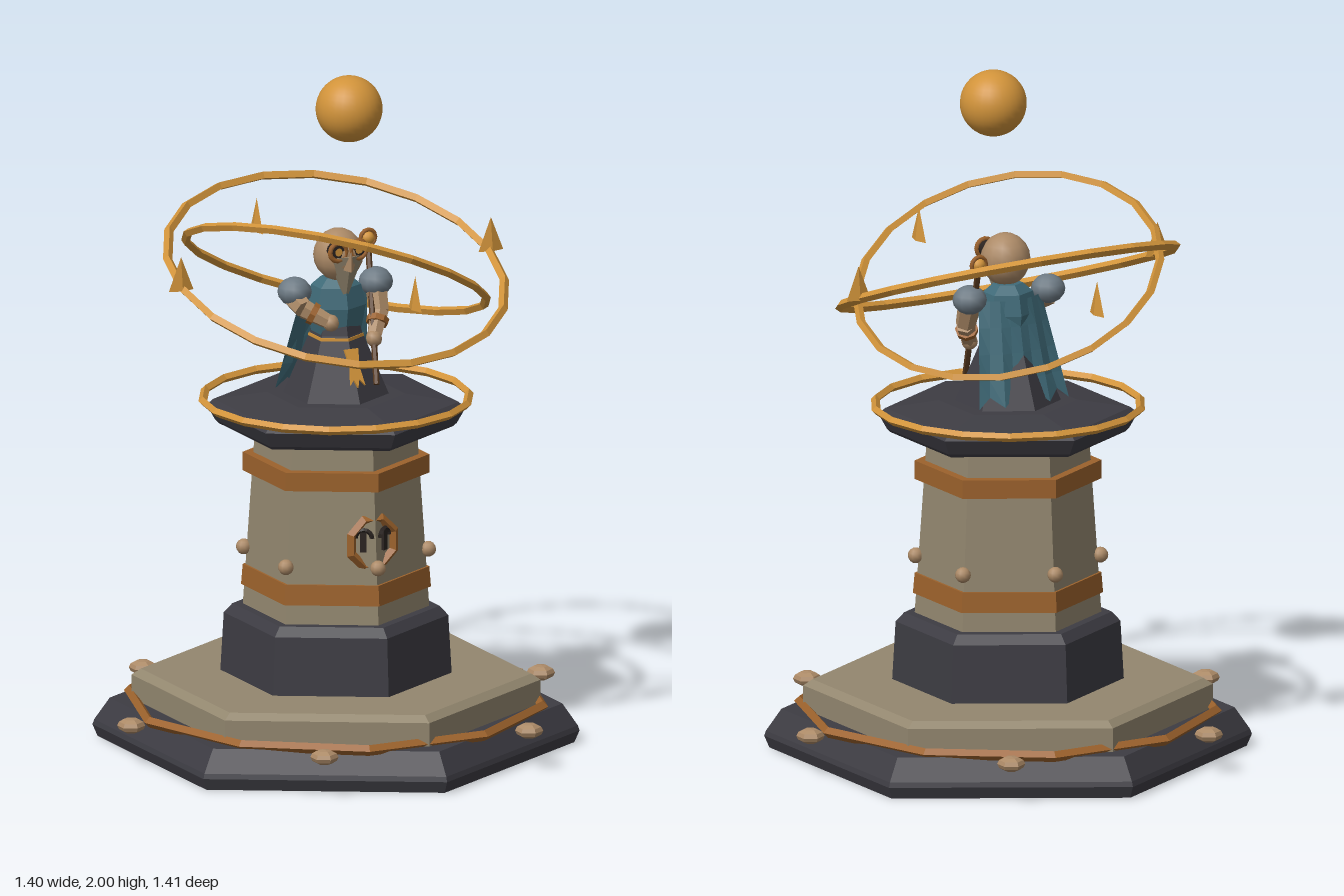
import * as THREE from 'three';

const mat = (name, color, extra = {}) => new THREE.MeshStandardMaterial({ name, color, ...extra });

export function createModel() {
  const root = new THREE.Group();
  const slate = mat('slate', 0x3d3c43);
  const stone = mat('stone', 0x93876f);
  const copper = mat('copper', 0x9c622c);
  const gold = mat('gold', 0xd1933a);
  const tan = mat('tan', 0xac8a67);
  const teal = mat('teal', 0x3f6a78, { side: THREE.DoubleSide });
  const steel = mat('steel', 0x6d7a84);
  const dark = mat('dark', 0x2a2320);
  const wood = mat('wood', 0x5a3c22);

  const V = (x, y, z) => new THREE.Vector3(x, y, z);
  const flat = (g) => {
    const f = g.index ? g.toNonIndexed() : g;
    f.computeVertexNormals();
    return f;
  };
  const add = (name, geo, material, x = 0, y = 0, z = 0, parent = root) => {
    const m = new THREE.Mesh(geo, material);
    m.name = name;
    m.position.set(x, y, z);
    parent.add(m);
    return m;
  };
  // six-sided solid with corners at +z and -z, from [radius, y] pairs
  const hex = (name, profile, material) => {
    const pts = [[0, profile[0][1]], ...profile, [0, profile.at(-1)[1]]];
    return add(name, flat(new THREE.LatheGeometry(pts.map((p) => new THREE.Vector2(...p)), 6)), material);
  };
  // ring lying in the plane with the given normal
  const ring = (name, r, tube, segs, material, y, normal = V(0, 1, 0)) => {
    const g = new THREE.TorusGeometry(r, tube, 4, segs);
    g.rotateX(-Math.PI / 2);
    const m = add(name, flat(g), material, 0, y, 0);
    m.quaternion.setFromUnitVectors(V(0, 1, 0), normal.normalize());
    return m;
  };
  // tapered rod between two points
  const rod = (name, a, b, ra, rb, material, sides = 6) => {
    const d = b.clone().sub(a);
    const m = add(name, flat(new THREE.CylinderGeometry(rb, ra, d.length(), sides)), material);
    m.position.copy(a).addScaledVector(d, 0.5);
    m.quaternion.setFromUnitVectors(V(0, 1, 0), d.normalize());
    return m;
  };

  // stepped base
  hex('baseStep', [[0.69, 0], [0.705, 0.035], [0.7, 0.05], [0.655, 0.115]], slate);
  hex('stoneStep', [[0.592, 0.11], [0.592, 0.185], [0.565, 0.203]], stone);
  ring('baseRing', 0.605, 0.016, 10, copper, 0.122);
  for (let i = 0; i < 6; i++) {
    const a = i * Math.PI / 3;
    const s = add('baseStud', flat(new THREE.SphereGeometry(0.041, 6, 6)), tan,
      0.665 * Math.cos(a), 0.12, 0.665 * Math.sin(a));
    s.scale.y = 0.55;
    s.rotation.y = Math.PI / 6;
  }

  // pedestal
  hex('plinth', [[0.335, 0.2], [0.325, 0.375], [0.3, 0.402]], slate);
  hex('column', [[0.27, 0.4], [0.235, 0.92], [0.215, 0.945]], stone);
  hex('lowerBand', [[0.275, 0.46], [0.27, 0.52]], copper);
  hex('upperBand', [[0.27, 0.8], [0.27, 0.855]], copper);
  for (let i = 0; i < 6; i++) {
    const a = i * Math.PI / 3;
    add('rivet', new THREE.SphereGeometry(0.023, 10, 8), tan, 0.267 * Math.sin(a), 0.572, 0.267 * Math.cos(a));
  }

  // emblem across the front corner of the column
  const emblem = add('emblemRing', flat(new THREE.TorusGeometry(0.074, 0.015, 4, 8)), copper, 0, 0.642, 0.232);
  emblem.rotation.z = Math.PI / 8;
  for (const s of [-1, 1]) {
    const arc = add('emblemArc', flat(new THREE.TorusGeometry(0.024, 0.007, 4, 8, Math.PI)), dark, s * 0.034, 0.66, 0.242);
    arc.rotation.y = s * 0.52;
    const bar = add('emblemBar', new THREE.BoxGeometry(0.018, 0.06, 0.009), dark, s * 0.034, 0.648, 0.24);
    bar.rotation.y = s * 0.52;
  }

  // top platform
  hex('platform', [[0.34, 0.94], [0.35, 0.95], [0.375, 0.995], [0.355, 1.012], [0.2, 1.035]], slate);
  ring('platformRing', 0.388, 0.013, 18, gold, 1.022);

  // robed figure: skirt, belt and chest
  hex('skirt', [[0.155, 1.03], [0.075, 1.22], [0.065, 1.26]], slate);
  const chest = hex('chest', [[0.07, 1.2], [0.09, 1.3], [0.075, 1.36], [0.045, 1.385]], teal);
  chest.scale.z = 0.85;
  hex('belt', [[0.082, 1.195], [0.08, 1.215]], gold);
  const sash = new THREE.Shape([[-0.022, 0.055], [0.022, 0.055], [0.016, 0.0], [0.024, -0.055], [0.008, -0.035],
    [0, -0.06], [-0.01, -0.035], [-0.022, -0.05], [-0.014, 0]].map((p) => new THREE.Vector2(...p)));
  const sashMesh = add('sash', new THREE.ExtrudeGeometry(sash, { depth: 0.008, bevelEnabled: false }), gold, 0, 1.135, 0.112);
  sashMesh.rotation.x = -0.4;

  // cloak: pleated sheet flaring to a ragged hem
  const cloakGeo = new THREE.PlaneGeometry(1, 1, 8, 4);
  const cp = cloakGeo.attributes.position;
  for (let i = 0; i < cp.count; i++) {
    const u = cp.getX(i) * 2, t = 0.5 - cp.getY(i);
    const pleat = (i % 9) % 2 ? 0.012 : -0.004;
    const hem = t === 1 && (i % 9) % 2 ? 0.03 : 0;
    cp.setXYZ(i, u * (0.105 + 0.045 * t), 1.345 - 0.3 * t + hem,
      -0.055 - 0.06 * t + pleat * t + 0.045 * u * u * (1 - 0.4 * t));
  }
  add('cloak', flat(cloakGeo), teal);

  // head, goggles and pointed beard
  const head = add('head', new THREE.SphereGeometry(0.073, 14, 10), tan, 0, 1.453, 0.015);
  head.scale.y = 1.06;
  const beard = add('beard', flat(new THREE.ConeGeometry(0.058, 0.14, 6)), stone, 0, 1.39, 0.06);
  beard.rotation.x = Math.PI;
  beard.scale.z = 0.6;
  const nose = add('nose', flat(new THREE.ConeGeometry(0.018, 0.06, 4)), tan, 0, 1.45, 0.09);
  nose.rotation.x = 0.3;
  for (const s of [-1, 1]) {
    add('goggleRim', new THREE.TorusGeometry(0.026, 0.008, 6, 12), copper, s * 0.033, 1.477, 0.078);
    const lens = add('goggleLens', new THREE.CylinderGeometry(0.024, 0.024, 0.03, 12), dark, s * 0.033, 1.477, 0.066);
    lens.rotation.x = Math.PI / 2;
    add('pupil', new THREE.CircleGeometry(0.012, 10), gold, s * 0.033, 1.477, 0.083);
    const pad = add('shoulder', new THREE.SphereGeometry(0.05, 12, 8), steel, s * 0.132, 1.352, -0.005);
    pad.scale.y = 0.85;
  }

  // arms and hands
  const arms = [[V(-0.135, 1.335, 0), V(-0.125, 1.31, 0.04), V(-0.06, 1.27, 0.085)],
    [V(0.13, 1.335, 0), V(0.125, 1.27, 0.03), V(0.085, 1.205, 0.075)]];
  for (const [a, b, c] of arms) {
    rod('upperArm', a, b, 0.034, 0.03, tan);
    rod('forearm', b, c, 0.03, 0.022, tan);
    const cuff = b.clone().lerp(c, 0.25);
    rod('cuff', cuff, b.clone().lerp(c, 0.45), 0.034, 0.032, copper, 8);
    add('hand', new THREE.SphereGeometry(0.025, 8, 6), tan, c.x, c.y, c.z);
  }

  // staff with looped head
  rod('staff', V(0.06, 1.085, 0.14), V(0.13, 1.45, -0.05), 0.009, 0.009, wood);
  add('staffLoop', new THREE.TorusGeometry(0.024, 0.007, 6, 12), copper, 0.134, 1.468, -0.06);
  add('staffGem', new THREE.SphereGeometry(0.02, 10, 8), gold, 0.134, 1.468, -0.06);

  // floating rings, pointers and orb
  ring('outerOrbit', 0.497, 0.014, 20, gold, 1.403, V(0, 0.938, 0.346));
  ring('innerOrbit', 0.447, 0.013, 20, gold, 1.405, V(0.374, 0.883, -0.28));
  for (let i = 0; i < 4; i++) {
    const a = i * Math.PI / 2;
    const p = add('pointer', flat(new THREE.ConeGeometry(0.04, 0.1, 4)), gold, 0.503 * Math.cos(a), 1.45, -0.503 * Math.sin(a));
    p.rotation.y = a;
    p.scale.z = 0.3;
  }
  add('orb', new THREE.SphereGeometry(0.097, 28, 20), gold, 0, 1.903, 0.083);

  return root;
}
